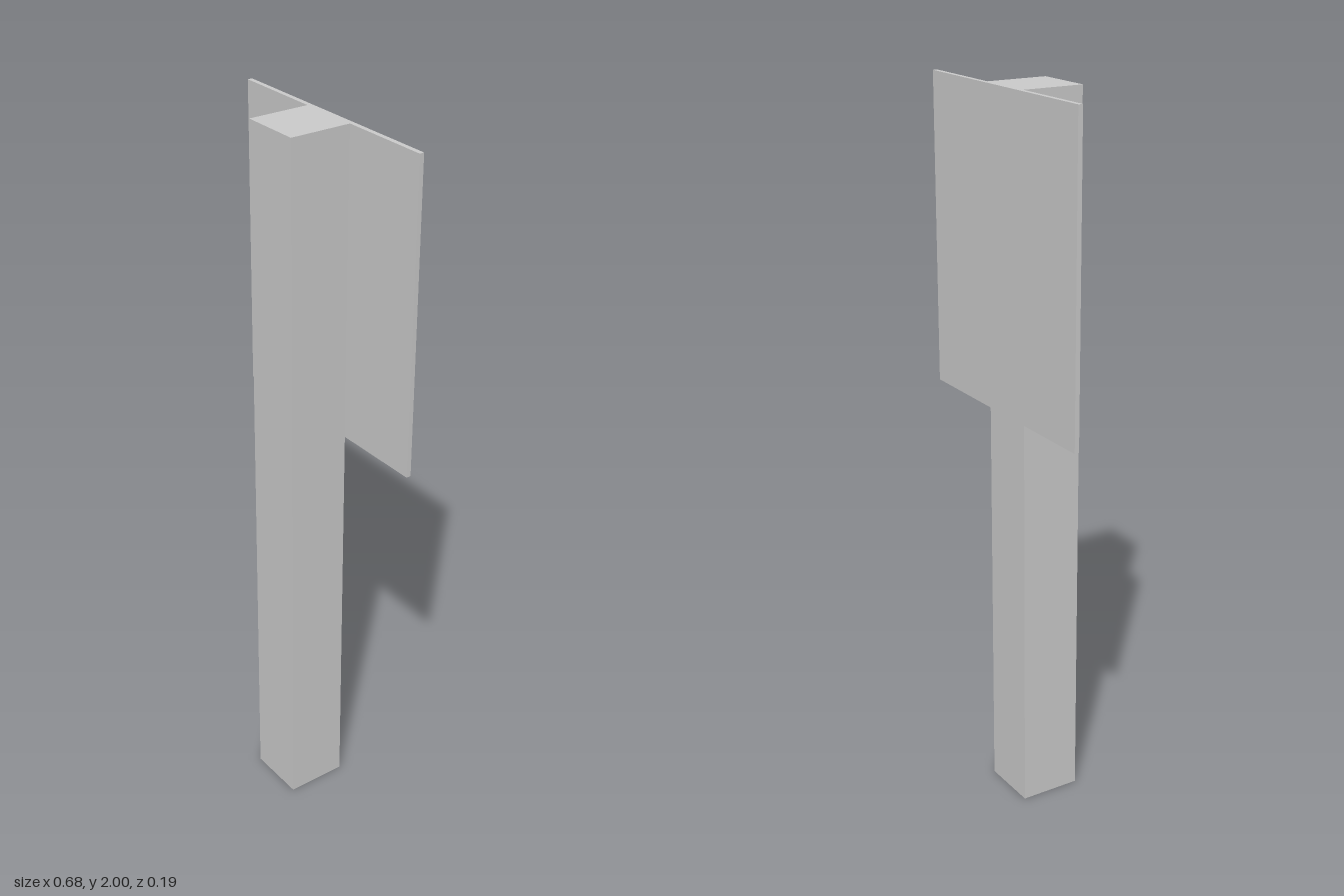
import * as THREE from 'three';

// Box given by its minimum and maximum corners
function block(name, min, max, material) {
  const size = max.map((v, i) => v - min[i]);
  const mesh = new THREE.Mesh(new THREE.BoxGeometry(...size), material);
  mesh.position.set(...max.map((v, i) => (v + min[i]) / 2));
  mesh.name = name;
  return mesh;
}

export function createModel() {
  const group = new THREE.Group();
  group.name = 'signPost';
  const grey = new THREE.MeshStandardMaterial({ color: 0xcccccc, flatShading: true });

  // Square post
  group.add(block('post', [-0.085, 0, -0.08], [0.085, 2, 0.092], grey));
  // Thin board fixed to the back of the post, flush with its top
  group.add(block('signBoard', [-0.342, 1.148, -0.093], [0.342, 2, -0.08], grey));

  return group;
}
